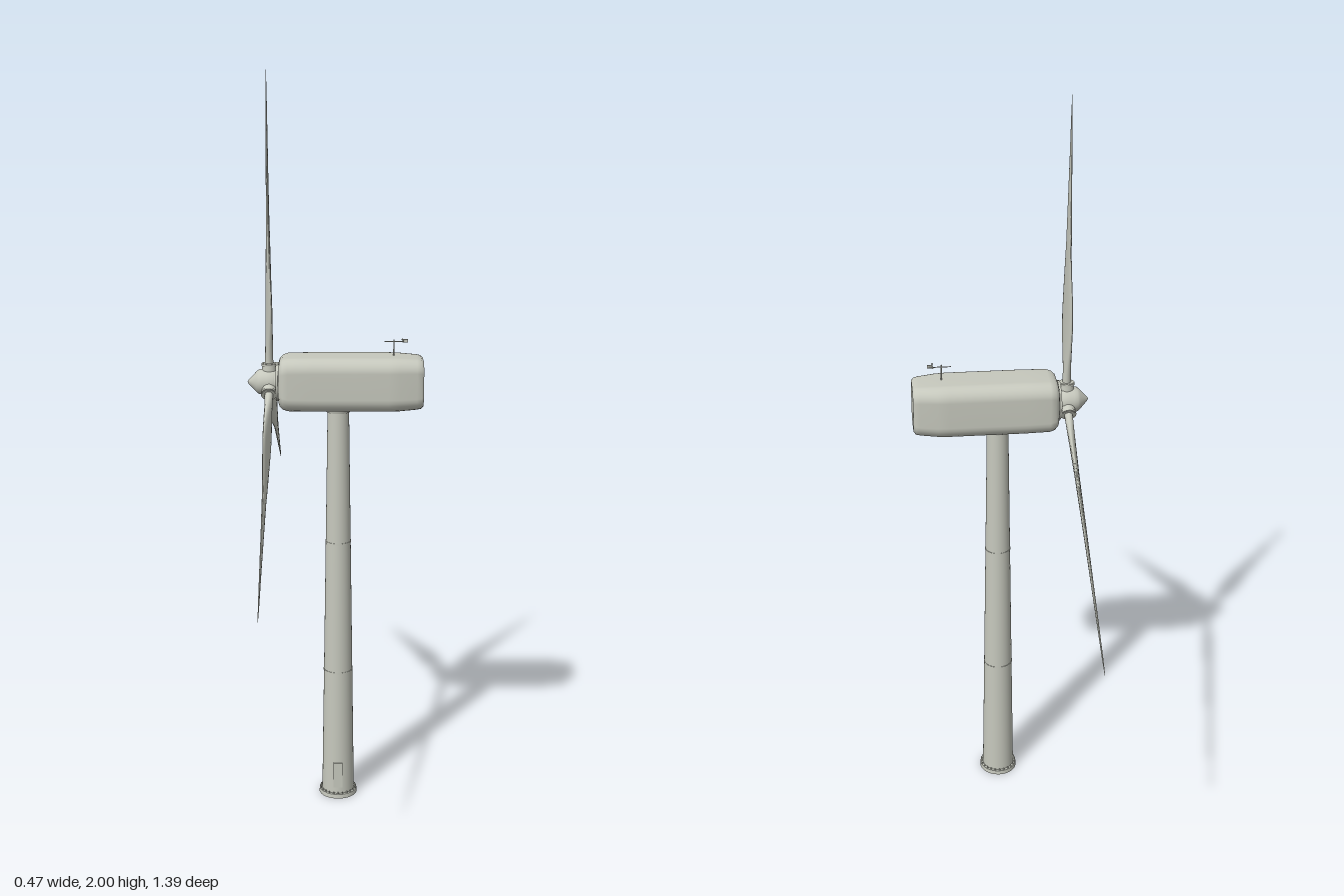
import * as THREE from 'three';

const paint = new THREE.MeshStandardMaterial({ color: 0xc6c8bd });
paint.name = 'warm light grey';

function add(parent, name, geometry, x = 0, y = 0, z = 0) {
  const mesh = new THREE.Mesh(geometry, paint);
  mesh.name = name;
  mesh.position.set(x, y, z);
  parent.add(mesh);
  return mesh;
}

const cyl = (rTop, rBottom, h, n = 32) => new THREE.CylinderGeometry(rTop, rBottom, h, n);

// Skin over closed cross-sections, with flat end caps
function loft(rings) {
  const pos = [], idx = [], n = rings[0].length;
  for (const ring of rings) for (const p of ring) pos.push(...p);
  for (let i = 0; i < rings.length - 1; i++) {
    for (let j = 0; j < n; j++) {
      const a = i * n + j, b = i * n + (j + 1) % n;
      idx.push(a, b, b + n, a, b + n, a + n);
    }
  }
  [rings[0], rings[rings.length - 1]].forEach((ring, end) => {
    const base = pos.length / 3;
    const mid = [0, 1, 2].map(k => ring.reduce((s, p) => s + p[k], 0) / n);
    for (const p of ring) pos.push(...p);
    pos.push(...mid);
    for (let j = 0; j < n; j++) {
      const a = base + j, b = base + (j + 1) % n;
      if (end) idx.push(base + n, a, b);
      else idx.push(base + n, b, a);
    }
  });
  const g = new THREE.BufferGeometry();
  g.setAttribute('position', new THREE.Float32BufferAttribute(pos, 3));
  g.setIndex(idx);
  g.computeVertexNormals();
  return g;
}

// Rounded rectangle across the x axis
function housingRing(x, halfH, halfW, r) {
  const ring = [];
  for (let q = 0; q < 4; q++) {
    const sy = q === 0 || q === 3 ? 1 : -1, sz = q < 2 ? 1 : -1;
    for (let k = 0; k <= 6; k++) {
      const a = (q + k / 6) * Math.PI / 2;
      ring.push([x, sy * (halfH - r) + r * Math.cos(a), sz * (halfW - r) + r * Math.sin(a)]);
    }
  }
  return ring;
}

// Blade section: radius, chord, thickness, chordwise offset, twist
function bladeRing([r, chord, thick, shift, twist]) {
  const ring = [];
  for (let j = 0; j < 16; j++) {
    const a = j / 16 * Math.PI * 2;
    const z = chord / 2 * Math.cos(a) + shift, x = thick / 2 * Math.sin(a);
    ring.push([x * Math.cos(twist) + z * Math.sin(twist), r, z * Math.cos(twist) - x * Math.sin(twist)]);
  }
  return ring;
}

function makeTower() {
  const tower = new THREE.Group();
  tower.name = 'tower';
  const radiusAt = y => 0.045 - 0.0145 * y;
  add(tower, 'towerShaft', cyl(radiusAt(1.13), radiusAt(0), 1.13, 48), 0, 0.565);
  add(tower, 'baseFlange', cyl(0.052, 0.053, 0.012, 48), 0, 0.006);
  for (const y of [0.375, 0.75]) add(tower, 'sectionSeam', cyl(radiusAt(y) + 0.001, radiusAt(y) + 0.001, 0.005, 48), 0, y);
  add(tower, 'yawRing', cyl(0.036, 0.032, 0.014), 0, 1.121);
  // Bolts around the base
  for (let i = 0; i < 24; i++) {
    const a = i / 24 * Math.PI * 2;
    add(tower, 'baseBolt', cyl(0.0022, 0.0022, 0.006, 6), 0.049 * Math.cos(a), 0.014, 0.049 * Math.sin(a));
  }
  // Access door
  add(tower, 'door', new THREE.BoxGeometry(0.026, 0.075, 0.009), 0, 0.068, 0.0415);
  return tower;
}

function makeNacelle() {
  const nacelle = new THREE.Group();
  nacelle.name = 'nacelle';
  const sections = [
    [-0.150, 0.052, 0.055, 0.030], [-0.147, 0.060, 0.063, 0.034], [-0.139, 0.067, 0.070, 0.036],
    [-0.125, 0.071, 0.074, 0.037], [-0.06, 0.072, 0.075, 0.037], [0.05, 0.072, 0.075, 0.037],
    [0.14, 0.072, 0.075, 0.037], [0.17, 0.071, 0.073, 0.036], [0.215, 0.068, 0.065, 0.034],
    [0.227, 0.066, 0.062, 0.033], [0.233, 0.060, 0.056, 0.030],
  ];
  add(nacelle, 'housing', loft(sections.map(s => housingRing(...s))));

  // Wind vane and anemometer on the roof
  const sensor = new THREE.Group();
  sensor.name = 'windSensor';
  sensor.position.set(0.155, 0.07, 0);
  add(sensor, 'mast', cyl(0.0016, 0.002, 0.046, 8), 0, 0.021);
  add(sensor, 'sensorArm', cyl(0.0013, 0.0013, 0.062, 8), 0.006, 0.038).rotation.z = Math.PI / 2;
  add(sensor, 'vaneFin', new THREE.BoxGeometry(0.014, 0.009, 0.001), 0.03, 0.04);
  add(sensor, 'cupArm', cyl(0.001, 0.001, 0.024, 8), 0.023, 0.042).rotation.x = Math.PI / 2;
  for (const s of [-1, 1]) add(sensor, 'cup', new THREE.SphereGeometry(0.0025, 8, 6), 0.023, 0.042, s * 0.012);
  nacelle.add(sensor);
  return nacelle;
}

function makeRotor() {
  const rotor = new THREE.Group();
  rotor.name = 'rotor';
  // Spinner cone and hub, turned around the x axis
  const profile = [[0, 0.058], [0.006, 0.055], [0.018, 0.043], [0.028, 0.034], [0.033, 0.027],
    [0.034, 0.018], [0.036, 0.006], [0.036, -0.010], [0.032, -0.018]];
  const points = profile.map(p => new THREE.Vector2(...p)).reverse();
  add(rotor, 'spinner', new THREE.LatheGeometry(points, 32)).rotation.z = Math.PI / 2;
  add(rotor, 'mainShaft', cyl(0.034, 0.034, 0.026), 0.018).rotation.z = Math.PI / 2;
  add(rotor, 'shaftFlange', cyl(0.052, 0.052, 0.006), 0.021).rotation.z = Math.PI / 2;

  const stations = [
    [0.045, 0.022, 0.022, 0, 0.25], [0.075, 0.024, 0.021, 0, 0.25], [0.11, 0.038, 0.019, 0.001, 0.24],
    [0.15, 0.056, 0.017, 0.002, 0.22], [0.20, 0.073, 0.015, 0.003, 0.20], [0.24, 0.078, 0.013, 0.003, 0.18],
    [0.29, 0.073, 0.012, 0.003, 0.16], [0.34, 0.062, 0.011, 0.005, 0.14], [0.39, 0.050, 0.010, 0.006, 0.12],
    [0.42, 0.047, 0.009, 0.005, 0.10], [0.52, 0.037, 0.007, 0.004, 0.08], [0.65, 0.022, 0.005, 0.002, 0.05],
    [0.76, 0.009, 0.003, 0.001, 0.02], [0.804, 0.002, 0.001, 0, 0],
  ];
  const bladeShape = loft(stations.map(bladeRing));
  for (let i = 0; i < 3; i++) {
    const arm = new THREE.Group();
    arm.name = 'bladeAssembly';
    arm.rotation.x = 0.013 + i * Math.PI * 2 / 3;
    add(arm, 'blade', bladeShape);
    add(arm, 'bladeSocket', cyl(0.018, 0.02, 0.03, 24), 0, 0.036);
    add(arm, 'socketCollar', cyl(0.021, 0.021, 0.006, 24), 0, 0.047);
    rotor.add(arm);
  }
  return rotor;
}

export function createModel() {
  const model = new THREE.Group();
  model.name = 'windTurbine';
  const z = 0.0055, axisY = 1.195;
  const tower = makeTower(), nacelle = makeNacelle(), rotor = makeRotor();
  tower.position.set(0.008, 0, z);
  nacelle.position.set(0, axisY, z);
  rotor.position.set(-0.175, axisY, z);
  model.add(tower, nacelle, rotor);
  return model;
}
